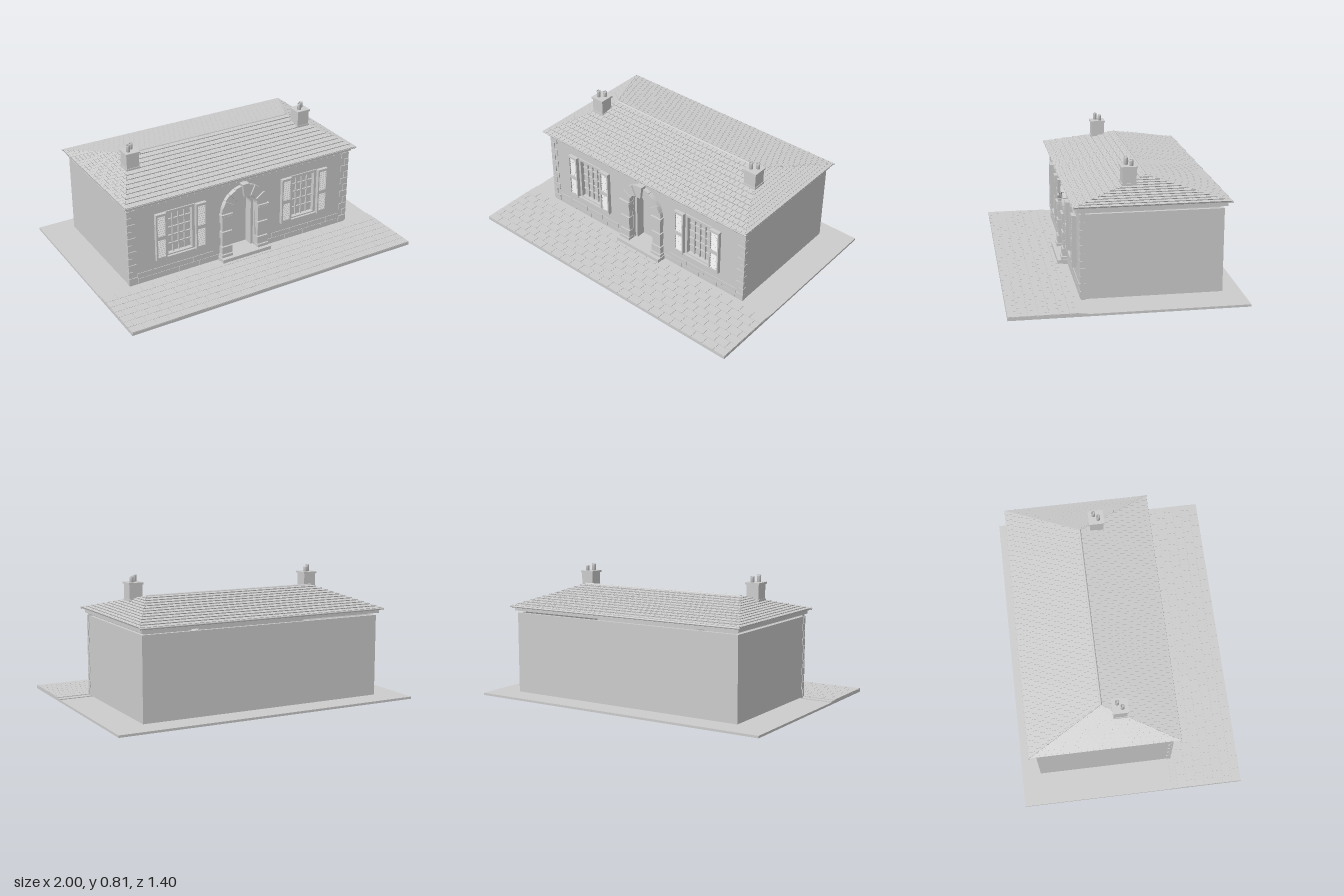
import * as THREE from 'three';
import { mergeGeometries } from 'three/addons/utils/BufferGeometryUtils.js';

const stone = new THREE.MeshStandardMaterial({ color: 0xcccccc });
stone.name = 'pale grey stone';

// box given by its min and max corners
function block(x0, x1, y0, y1, z0, z1) {
  return new THREE.BoxGeometry(x1 - x0, y1 - y0, z1 - z0)
    .translate((x0 + x1) / 2, (y0 + y1) / 2, (z0 + z1) / 2);
}

function extrude(shape, z0, z1) {
  return new THREE.ExtrudeGeometry(shape, { depth: z1 - z0, bevelEnabled: false, curveSegments: 16 }).translate(0, 0, z0);
}

function rectPath(x0, x1, y0, y1) {
  return new THREE.Path([[x0, y0], [x1, y0], [x1, y1], [x0, y1]].map(p => new THREE.Vector2(...p)));
}

// round-headed outline
function archPath(Type, r, y0, spring) {
  const p = new Type();
  p.moveTo(-r, y0);
  p.lineTo(r, y0);
  p.lineTo(r, spring);
  p.absarc(0, spring, r, 0, Math.PI, false);
  p.lineTo(-r, y0);
  return p;
}

// staggered tiles on one roof slope, trimmed along the hips
function slopeTiles(origin, u, up, half, topHalf) {
  const courses = 12, width = 0.036, len = up.length() / courses;
  const v = up.clone().normalize(), n = u.clone().cross(v);
  const basis = new THREE.Matrix4().makeBasis(u, v, n).setPosition(origin);
  const parts = [];
  for (let c = 0; c < courses; c++) {
    const limit = y => THREE.MathUtils.lerp(half, topHalf, Math.min(1, y / up.length()));
    const reach = limit(c * len);
    const shift = c % 2 ? width / 2 : 0;
    for (let x = -Math.ceil(half / width) * width - shift; x < reach; x += width) {
      if (x + width < -reach + 0.002) continue;
      const g = block(x + 0.001, x + width - 0.001, c * len, (c + 1) * len, -0.004, 0.006);
      const p = g.attributes.position;
      for (let i = 0; i < p.count; i++) {
        const y = p.getY(i), m = limit(y);
        p.setX(i, THREE.MathUtils.clamp(p.getX(i), -m, m));
        if (y > (c + 0.5) * len && p.getZ(i) > 0) p.setZ(i, 0.0005);
      }
      g.applyMatrix4(basis);
      g.computeVertexNormals();
      parts.push(g);
    }
  }
  return parts;
}

export function createModel() {
  const model = new THREE.Group();
  model.name = 'cottage';
  const add = (name, ...geos) => {
    const mesh = new THREE.Mesh(geos.length > 1 ? mergeGeometries(geos) : geos[0], stone);
    mesh.name = name;
    model.add(mesh);
    return mesh;
  };

  // ground and paving
  add('groundSlab', block(-1, 1, 0, 0.014, -0.7, 0.7));
  add('pavementBed', block(-1, 1, 0.012, 0.019, 0.25, 0.7));
  const paving = [];
  const rowDepth = 0.41 / 7, paver = 2 / 24;
  for (let r = 0; r < 7; r++) {
    const z = 0.29 + r * rowDepth;
    for (let i = 0; i <= 24; i++) {
      const x = -1 + i * paver - (r % 2 ? paver / 2 : 0);
      const a = Math.max(-1, x + 0.001), b = Math.min(1, x + paver - 0.001);
      if (b - a > 0.01) paving.push(block(a, b, 0.015, 0.023, z + 0.001, z + rowDepth - 0.001));
    }
  }
  add('pavingStones', ...paving);

  // walls, the front one pierced by the windows and the doorway
  add('sideAndBackWalls',
    block(-0.8, 0.8, 0.025, 0.537, -0.58, -0.56),
    block(-0.8, -0.78, 0.025, 0.537, -0.56, 0.25),
    block(0.78, 0.8, 0.025, 0.537, -0.56, 0.25));
  const front = new THREE.Shape(rectPath(-0.8, 0.8, 0.02, 0.55).getPoints());
  front.holes.push(archPath(THREE.Path, 0.095, 0.03, 0.345));
  for (const s of [-1, 1]) front.holes.push(rectPath(s * 0.45 - 0.09, s * 0.45 + 0.09, 0.165, 0.465));
  add('frontWall', extrude(front, 0.235, 0.26));

  // corner stones and base course
  const quoins = [], base = [];
  for (const s of [-1, 1]) {
    for (let i = 0; i < 11; i++) {
      const y = 0.03 + i * 0.0465, w = i % 2 ? 0.03 : 0.055;
      const a = s * 0.804, b = s * (0.804 - w);
      quoins.push(block(Math.min(a, b), Math.max(a, b), y, y + 0.043, i % 2 ? 0.235 : 0.25, 0.266));
    }
    for (let r = 0; r < 2; r++) for (let i = 0; i < 4; i++) {
      const w = 0.142, lo = 0.178 + i * w + (r ? 0.04 : 0), hi = Math.min(0.745, lo + w - 0.003);
      const [a, b] = s > 0 ? [lo, hi] : [-hi, -lo];
      base.push(block(a, b, 0.025 + r * 0.036, 0.059 + r * 0.036, 0.255, 0.264));
    }
  }
  add('cornerStones', ...quoins);
  add('baseCourse', ...base);

  // doorway: recess, door, step, piers, arch stones
  const lining = archPath(THREE.Shape, 0.1, 0.025, 0.345);
  lining.holes.push(archPath(THREE.Path, 0.092, 0.035, 0.345));
  add('doorReveal', extrude(lining, 0.17, 0.25));
  add('door', extrude(archPath(THREE.Shape, 0.098, 0.03, 0.345), 0.155, 0.175));
  const frame = archPath(THREE.Shape, 0.094, 0.04, 0.345);
  frame.holes.push(archPath(THREE.Path, 0.075, 0.045, 0.345));
  add('doorFrame', extrude(frame, 0.175, 0.235));
  add('doorStep', block(-0.178, 0.178, 0.015, 0.046, 0.17, 0.325));
  const piers = [];
  for (const s of [-1, 1]) {
    const pier = (a, b, y0, y1, z) => piers.push(block(Math.min(s * a, s * b), Math.max(s * a, s * b), y0, y1, 0.25, z));
    pier(0.093, 0.172, 0.046, 0.065, 0.3);
    pier(0.099, 0.16, 0.065, 0.345, 0.28);
    for (let i = 0; i < 5; i++) {
      const y = 0.068 + i * 0.054, proud = i % 2 === 0;
      pier(proud ? 0.094 : 0.097, proud ? 0.168 : 0.162, y, y + 0.05, proud ? 0.293 : 0.286);
    }
    pier(0.092, 0.174, 0.338, 0.35, 0.298);
  }
  add('doorPiers', ...piers);
  const arch = [], stones = 11;
  for (let i = 0; i < stones; i++) {
    const key = i === 5, gap = 0.008;
    const a0 = i * Math.PI / stones + gap, a1 = (i + 1) * Math.PI / stones - gap;
    const wedge = new THREE.Shape();
    wedge.absarc(0, 0.348, key ? 0.182 : 0.165, a0, a1, false);
    wedge.absarc(0, 0.348, 0.094, a1, a0, true);
    arch.push(extrude(wedge, 0.25, key ? 0.302 : i % 2 ? 0.292 : 0.285));
  }
  add('doorArch', ...arch);

  // windows with sills, glazing bars and louvred shutters
  for (const s of [-1, 1]) {
    const cx = s * 0.45, bars = [], shutters = [];
    add('windowPane', block(cx - 0.092, cx + 0.092, 0.163, 0.467, 0.232, 0.238));
    const surround = new THREE.Shape(rectPath(cx - 0.1, cx + 0.1, 0.158, 0.474).getPoints());
    surround.holes.push(rectPath(cx - 0.083, cx + 0.083, 0.175, 0.458));
    add('windowFrame', extrude(surround, 0.24, 0.268));
    for (let i = 1; i < 4; i++) {
      const x = cx - 0.083 + i * 0.0415;
      bars.push(block(x - 0.003, x + 0.003, 0.17, 0.46, 0.236, 0.25));
    }
    for (let i = 1; i < 5; i++) {
      const y = 0.175 + i * 0.0566;
      bars.push(block(cx - 0.085, cx + 0.085, y - 0.003, y + 0.003, 0.236, 0.248));
    }
    add('glazingBars', ...bars);
    add('windowSill', block(cx - 0.105, cx + 0.105, 0.15, 0.167, 0.25, 0.283));
    for (const t of [-1, 1]) {
      const x = cx + t * 0.138, w = 0.036;
      const panel = new THREE.Shape(rectPath(x - w, x + w, 0.158, 0.476).getPoints());
      panel.holes.push(rectPath(x - w + 0.01, x + w - 0.01, 0.18, 0.3), rectPath(x - w + 0.01, x + w - 0.01, 0.325, 0.46));
      const g = extrude(panel, 0.266, 0.29);
      add('shutterFrame', g);
      for (const [y0, y1] of [[0.18, 0.3], [0.325, 0.46]]) {
        for (let i = 0; i < 9; i++) {
          const y = y0 + (i + 0.5) * (y1 - y0) / 9;
          shutters.push(new THREE.BoxGeometry(2 * w - 0.018, 0.003, 0.018).rotateX(0.7).translate(x, y, 0.278));
        }
      }
      add('shutterBacking', block(x - w + 0.004, x + w - 0.004, 0.165, 0.47, 0.258, 0.27));
    }
    add('shutterSlats', ...shutters);
  }

  // cornice with small brackets, eaves and gutters
  add('cornice', block(-0.81, 0.81, 0.552, 0.578, -0.598, 0.28));
  const brackets = [];
  for (let i = 0; i <= 32; i++) {
    const x = -0.784 + i * 0.049;
    brackets.push(block(x - 0.006, x + 0.006, 0.541, 0.554, 0.25, 0.277));
  }
  add('corniceBrackets', ...brackets);
  add('eavesBoard', block(-0.823, 0.823, 0.574, 0.583, -0.612, 0.302));
  for (const z of [0.302, -0.617]) {
    add('gutter', new THREE.CylinderGeometry(0.006, 0.006, 1.66, 10).rotateZ(Math.PI / 2).translate(0, 0.58, z));
  }

  // hipped roof
  const core = new THREE.BoxGeometry(1.64, 0.112, 0.91);
  const p = core.attributes.position;
  for (let i = 0; i < p.count; i++) {
    if (p.getY(i) > 0) p.setXYZ(i, Math.sign(p.getX(i)) * 0.58, p.getY(i), 0);
  }
  core.translate(0, 0.634, -0.155);
  core.computeVertexNormals();
  add('roofCore', core);
  const V = (x, y, z) => new THREE.Vector3(x, y, z);
  add('frontTiles', ...slopeTiles(V(0, 0.582, 0.305), V(1, 0, 0), V(0, 0.111, -0.46), 0.825, 0.58));
  add('backTiles', ...slopeTiles(V(0, 0.582, -0.615), V(-1, 0, 0), V(0, 0.111, 0.46), 0.825, 0.58));
  add('leftTiles', ...slopeTiles(V(0.825, 0.582, -0.155), V(0, 0, -1), V(-0.245, 0.111, 0), 0.46, 0));
  add('rightTiles', ...slopeTiles(V(-0.825, 0.582, -0.155), V(0, 0, 1), V(0.245, 0.111, 0), 0.46, 0));
  add('ridgeTiles', new THREE.CylinderGeometry(0.008, 0.008, 1.16, 10).rotateZ(Math.PI / 2).translate(0, 0.692, -0.155));

  // chimneys with two pots each
  for (const s of [-1, 1]) {
    const cx = s * 0.62;
    add('chimneyStack',
      block(cx - 0.042, cx + 0.042, 0.6, 0.762, -0.087, -0.003),
      block(cx - 0.046, cx + 0.046, 0.6, 0.668, -0.091, 0.001));
    add('chimneyCap', block(cx - 0.048, cx + 0.048, 0.757, 0.769, -0.094, 0.004));
    for (const [dx, z, top] of [[-0.015, -0.032, 0.812], [0.016, -0.06, 0.804]]) {
      const r = 0.012;
      const pot = [[0, 0.765], [r, 0.765], [r, top - 0.005], [r + 0.001, top], [r - 0.004, top], [r - 0.004, 0.775], [0, 0.775]];
      add('chimneyPot', new THREE.LatheGeometry(pot.map(q => new THREE.Vector2(...q)), 14).translate(cx + dx, 0, z));
    }
  }
  return model;
}
